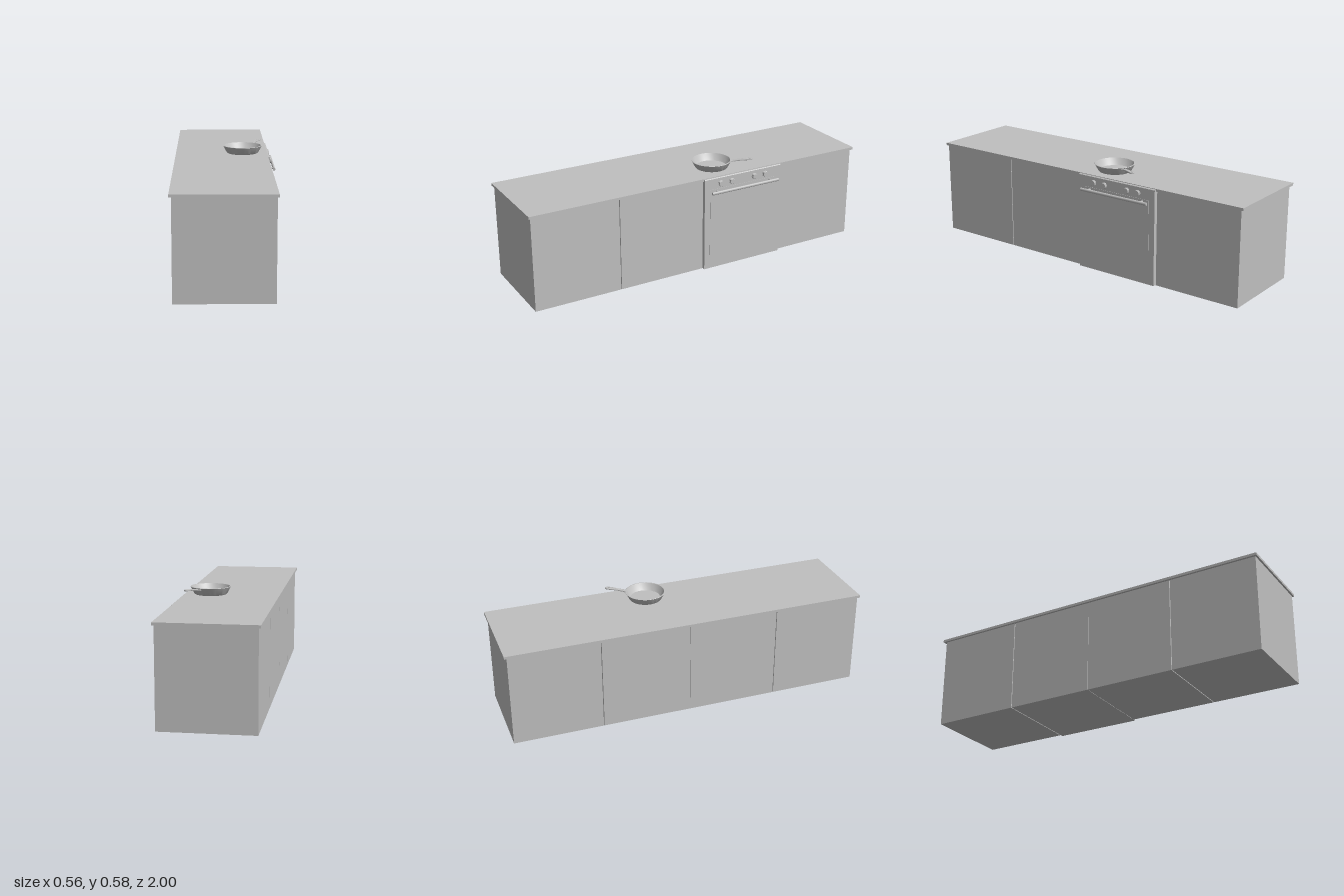
import * as THREE from 'three';
import { toCreasedNormals } from 'three/addons/utils/BufferGeometryUtils.js';

export function createModel() {
  const model = new THREE.Group();
  model.name = 'kitchenCounter';
  const grey = new THREE.MeshStandardMaterial({ color: 0xbfbfbf });
  grey.name = 'grey';

  const add = (name, geometry, parent = model) => {
    const mesh = new THREE.Mesh(geometry, grey);
    mesh.name = name;
    parent.add(mesh);
    return mesh;
  };
  // box given by its limits on each axis
  const box = (name, x0, x1, y0, y1, z0, z1, parent) =>
    add(name, new THREE.BoxGeometry(x1 - x0, y1 - y0, z1 - z0), parent)
      .position.set((x0 + x1) / 2, (y0 + y1) / 2, (z0 + z1) / 2);

  // cabinets with thin seams between them
  const cabinets = [[0.502, 0.99], [0.001, 0.498], [-0.985, -0.494]];
  cabinets.forEach(([z0, z1], i) => box('cabinet' + (i + 1), -0.268, 0.227, 0, 0.518, z0, z1));

  // worktop
  box('worktop', -0.28, 0.235, 0.518, 0.532, -1, 1);

  // oven: body, bevelled front and raised door panel
  const oven = new THREE.Group();
  oven.name = 'oven';
  model.add(oven);
  box('ovenBody', -0.268, 0.227, 0, 0.518, -0.49, -0.001, oven);
  const profile = new THREE.Shape([
    [0.227, 0], [0.244, 0], [0.244, 0.525], [0.241, 0.528], [0.227, 0.53],
  ].map(([x, y]) => new THREE.Vector2(x, y)));
  add('ovenFront', new THREE.ExtrudeGeometry(profile, { depth: 0.489, bevelEnabled: false }), oven)
    .position.z = -0.49;
  box('ovenDoor', 0.244, 0.246, 0.08, 0.465, -0.455, -0.035, oven);

  // control knobs: round base with a narrower cap
  const knobProfile = [[0, 0], [0.016, 0], [0.016, 0.003], [0.0145, 0.004], [0.0145, 0.012], [0.0135, 0.013], [0, 0.013]]
    .map(([r, y]) => new THREE.Vector2(r, y));
  const knobGeometry = toCreasedNormals(new THREE.LatheGeometry(knobProfile, 32), 0.6);
  for (const z of [-0.1, -0.17, -0.315, -0.385]) {
    const knob = add('knob', knobGeometry, oven);
    knob.rotation.z = -Math.PI / 2;
    knob.position.set(0.244, 0.493, z);
  }

  // door handle: bar on two posts
  const bar = add('doorHandle', new THREE.CylinderGeometry(0.0085, 0.0085, 0.425, 20), oven);
  bar.rotation.x = Math.PI / 2;
  bar.scale.x = 0.8;
  bar.position.set(0.271, 0.453, -0.245);
  for (const z of [-0.075, -0.415]) {
    const post = add('handlePost', new THREE.CylinderGeometry(0.006, 0.006, 0.03, 16), oven);
    post.rotation.z = Math.PI / 2;
    post.position.set(0.257, 0.453, z);
  }

  // frying pan
  const pan = new THREE.Group();
  pan.name = 'fryingPan';
  pan.position.set(0.096, 0.532, -0.13);
  pan.rotation.y = 1.07;
  model.add(pan);
  const panProfile = [
    [0, 0], [0.083, 0], [0.087, 0.002], [0.091, 0.007], [0.108, 0.039], [0.11, 0.042], [0.109, 0.043],
    [0.103, 0.043], [0.101, 0.04], [0.086, 0.01], [0.082, 0.006], [0, 0.006],
  ].map(([r, y]) => new THREE.Vector2(r, y));
  add('panBowl', toCreasedNormals(new THREE.LatheGeometry(panProfile, 48), 0.7), pan);

  // pan handle: waisted strip with a hanging hole, bent upwards
  const half = new THREE.SplineCurve([
    [0.1, 0.015], [0.12, 0.009], [0.15, 0.008], [0.19, 0.011], [0.212, 0.011], [0.221, 0.006], [0.223, 0],
  ].map(([u, v]) => new THREE.Vector2(u, v))).getPoints(28);
  const mirrored = half.slice(0, -1).reverse().map((p) => new THREE.Vector2(p.x, -p.y));
  const outline = new THREE.Shape([...half, ...mirrored].reverse());
  const hole = new THREE.Path();
  hole.absellipse(0.207, 0, 0.008, 0.005, 0, Math.PI * 2, true);
  outline.holes.push(hole);
  const strip = new THREE.ExtrudeGeometry(outline, {
    depth: 0.004, bevelThickness: 0.0015, bevelSize: 0.0015, bevelSegments: 2, curveSegments: 20,
  });
  strip.rotateX(-Math.PI / 2);
  const pos = strip.attributes.position;
  for (let i = 0; i < pos.count; i++) {
    const t = THREE.MathUtils.clamp((pos.getX(i) - 0.1) / 0.12, 0, 1);
    pos.setY(i, pos.getY(i) + 0.031 + 0.012 * Math.sin(t * Math.PI / 2));
  }
  strip.computeVertexNormals();
  add('panHandle', toCreasedNormals(strip, 0.7), pan);

  return model;
}
